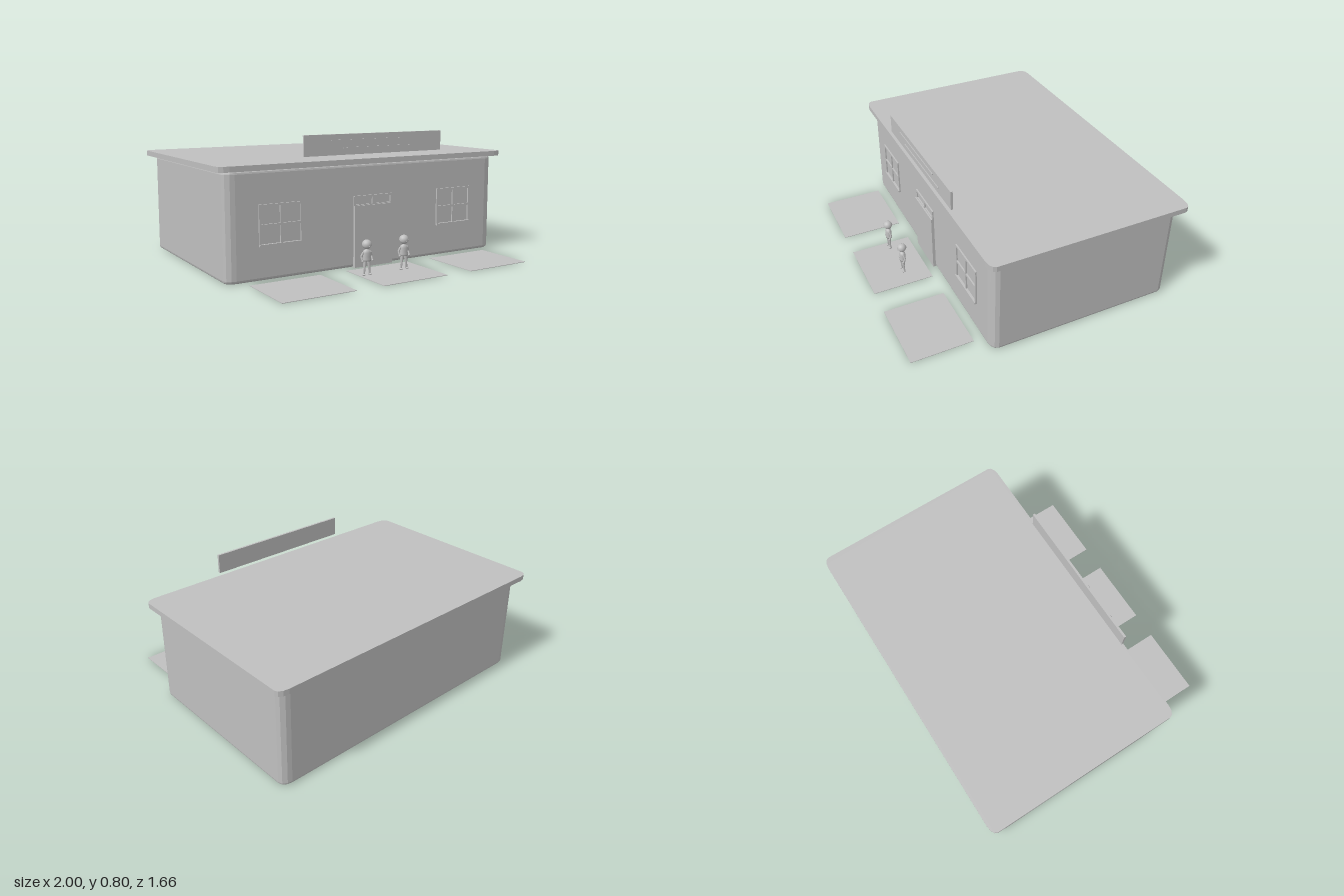
import * as THREE from 'three';

const gray = new THREE.MeshStandardMaterial({ color: 0xbfbfbf });
gray.name = 'plain gray';

function add(parent, name, geometry, x = 0, y = 0, z = 0) {
  const mesh = new THREE.Mesh(geometry, gray);
  mesh.name = name;
  mesh.position.set(x, y, z);
  parent.add(mesh);
  return mesh;
}

// Box given by its lower and upper limits on each axis
function block(parent, name, [x0, x1], [y0, y1], [z0, z1]) {
  return add(parent, name, new THREE.BoxGeometry(x1 - x0, y1 - y0, z1 - z0),
    (x0 + x1) / 2, (y0 + y1) / 2, (z0 + z1) / 2);
}

// Upright slab with elliptic corners, optionally bevelled at top and bottom
function slab(halfX, halfZ, rx, rz, y0, y1, bevel) {
  const s = new THREE.Shape();
  const hx = halfX - bevel, hz = halfZ - bevel;
  [[1, 1], [-1, 1], [-1, -1], [1, -1]].forEach(([sx, sz], i) => {
    for (let k = 0; k <= 3; k++) {
      const a = (i + k / 3) * Math.PI / 2;
      const px = sx * (hx - rx) + rx * Math.cos(a);
      const pz = sz * (hz - rz) + rz * Math.sin(a);
      if (i + k === 0) s.moveTo(px, pz); else s.lineTo(px, pz);
    }
  });
  s.closePath();
  const g = new THREE.ExtrudeGeometry(s, {
    depth: y1 - y0 - 2 * bevel, bevelEnabled: bevel > 0,
    bevelSize: bevel, bevelThickness: bevel, bevelSegments: 3,
  });
  g.rotateX(-Math.PI / 2);
  g.translate(0, y0 + bevel, 0);
  return g;
}

// Frame with bars; cols and rows count the panes
function frame(parent, name, [x0, x1], [y0, y1], cols, rows) {
  const g = new THREE.Group();
  g.name = name;
  parent.add(g);
  const t = 0.012, depth = [0.38, 0.398];
  for (let i = 0; i <= cols; i++) {
    const x = x0 + (x1 - x0 - t) * i / cols;
    block(g, 'uprightBar', [x, x + t], [y0, y1], depth);
  }
  for (let j = 0; j <= rows; j++) {
    const y = y0 + (y1 - y0 - t) * j / rows;
    block(g, 'crossBar', [x0, x1], [y, y + t], depth);
  }
  return g;
}

function limb(parent, name, from, to, r0, r1) {
  const a = new THREE.Vector3(...from), b = new THREE.Vector3(...to);
  const dir = b.clone().sub(a);
  const mesh = add(parent, name, new THREE.CylinderGeometry(r1, r0, dir.length(), 8));
  mesh.position.copy(a).add(b).multiplyScalar(0.5);
  mesh.quaternion.setFromUnitVectors(new THREE.Vector3(0, 1, 0), dir.normalize());
}

// Small standing person with a cap
function person(x, z) {
  const g = new THREE.Group();
  g.name = 'person';
  g.position.set(x, 0, z);
  const profile = [[0, 0.086], [0.026, 0.086], [0.028, 0.096], [0.024, 0.112],
    [0.027, 0.135], [0.02, 0.148], [0.008, 0.154], [0.008, 0.162]]
    .map(([r, y]) => new THREE.Vector2(r, y));
  add(g, 'torso', new THREE.LatheGeometry(profile, 12)).scale.z = 0.72;
  add(g, 'head', new THREE.SphereGeometry(0.025, 14, 10), 0, 0.179, 0);
  const cap = add(g, 'cap', new THREE.SphereGeometry(0.029, 14, 6, 0, Math.PI * 2, 0, Math.PI / 2), 0, 0.181, 0);
  cap.rotation.x = 0.15;
  add(g, 'capRim', new THREE.CylinderGeometry(0.029, 0.029, 0.004, 14), 0, 0.18, 0).rotation.x = 0.15;
  add(g, 'nose', new THREE.SphereGeometry(0.005, 8, 6), 0, 0.174, 0.025);
  for (const s of [-1, 1]) {
    limb(g, 'upperArm', [s * 0.024, 0.138, 0], [s * 0.036, 0.113, -0.004], 0.007, 0.006);
    limb(g, 'lowerArm', [s * 0.036, 0.113, -0.004], [s * 0.034, 0.091, 0.006], 0.006, 0.005);
    add(g, 'hand', new THREE.SphereGeometry(0.007, 8, 6), s * 0.034, 0.088, 0.007);
    limb(g, 'upperLeg', [s * 0.012, 0.09, 0], [s * 0.016, 0.05, 0.002], 0.011, 0.008);
    limb(g, 'lowerLeg', [s * 0.016, 0.05, 0.002], [s * 0.02, 0.008, 0], 0.007, 0.006);
    add(g, 'shoe', new THREE.SphereGeometry(0.008, 8, 6), s * 0.021, 0.008, 0.004).scale.set(1, 0.8, 1.5);
  }
  return g;
}

export function createModel() {
  const model = new THREE.Group();
  model.name = 'shopBuilding';

  // Building shell and flat overhanging roof
  add(model, 'walls', slab(0.952, 0.587, 0.045, 0.03, 0, 0.62, 0.018), 0, 0, -0.198);
  add(model, 'roof', slab(1, 0.63, 0.065, 0.035, 0.62, 0.652, 0), 0, 0, -0.205);

  // Door with a two-pane light above
  block(model, 'door', [-0.139, 0.134], [0, 0.372], [0.38, 0.407]);
  frame(model, 'doorLight', [-0.139, 0.134], [0.365, 0.43], 2, 1);

  // Front windows with sills
  for (const s of [-1, 1]) {
    const xs = s < 0 ? [-0.755, -0.483] : [0.483, 0.755];
    frame(model, 'window', xs, [0.195, 0.43], 2, 2);
    block(model, 'windowSill', xs, [0.195, 0.207], [0.38, 0.404]);
  }

  // Sign board standing above the roof edge, with plain raised strips
  block(model, 'signBoard', [-0.485, 0.485], [0.68, 0.8], [0.405, 0.419]);
  block(model, 'signUpperStrip', [-0.31, 0.23], [0.762, 0.768], [0.418, 0.424]);
  block(model, 'signLowerStrip', [-0.23, 0.31], [0.717, 0.723], [0.418, 0.424]);

  // Paving in front
  for (const x of [-0.62, -0.002, 0.615]) {
    block(model, 'pavingPad', [x - 0.221, x + 0.221], [0, 0.003], [0.447, 0.83]);
  }

  // People by the door
  model.add(person(-0.178, 0.592), person(0.083, 0.592));
  return model;
}
